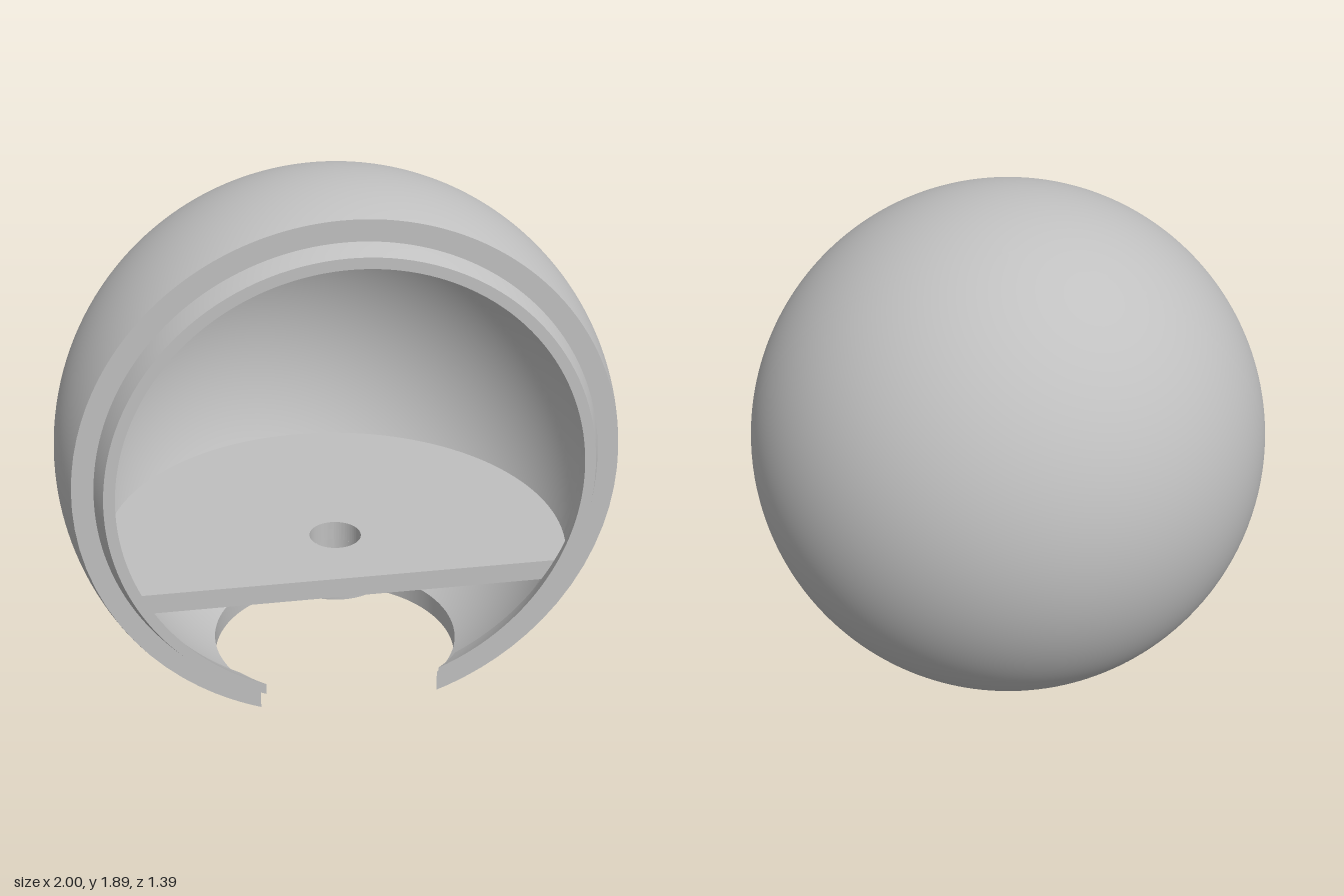
import * as THREE from 'three';
import { toCreasedNormals } from 'three/addons/utils/BufferGeometryUtils.js';

const CY = 0.89, CZ = 0.305;              // centre of the ball
const OUTER = 1, MID = 0.93, INNER = 0.895; // shell and ring radii
const FRONT = 0.32;                       // front cut, from the centre
const HOLE = 0.456, RING_HOLE = 0.5;      // vertical hole through the floor
const RING_BACK = 0.306, RING_FRONT = 0.39;

// Smooth surface from a point rule over u, v in 0..1
function surface(rule, nu, nv, flip = false) {
  const pos = [], index = [];
  for (let i = 0; i <= nu; i++)
    for (let j = 0; j <= nv; j++) pos.push(...rule(i / nu, j / nv).toArray());
  for (let i = 0; i < nu; i++) {
    for (let j = 0; j < nv; j++) {
      const a = i * (nv + 1) + j, b = a + nv + 1, c = b + 1, d = a + 1;
      if (flip) index.push(a, d, b, b, d, c);
      else index.push(a, b, d, b, c, d);
    }
  }
  const geo = new THREE.BufferGeometry();
  geo.setAttribute('position', new THREE.Float32BufferAttribute(pos, 3));
  geo.setIndex(index);
  geo.computeVertexNormals();
  return geo;
}

// Ball surface swept from a pole opposite the two overlapping openings
const W = new THREE.Vector3(0, 0.925, -0.38).normalize();
const Q = new THREE.Vector3(0, W.z, -W.y);
const DOWN = new THREE.Vector3(0, -1, 0), AHEAD = new THREE.Vector3(0, 0, 1);

function ballPoint(R, side, u, v) {
  const x = Math.sqrt(HOLE * HOLE - FRONT * FRONT);
  const corner = new THREE.Vector3(x, -Math.sqrt(R * R - HOLE * HOLE), FRONT);
  const ac = Math.atan2(corner.x, corner.dot(Q));
  const a = side === 'hole' ? -ac + 2 * ac * u : ac + (2 * Math.PI - 2 * ac) * u;
  const m = new THREE.Vector3(Math.sin(a), 0, 0).addScaledVector(Q, Math.cos(a));
  const n = side === 'hole' ? DOWN : AHEAD;
  const k = side === 'hole' ? Math.sqrt(1 - (HOLE / R) ** 2) : FRONT / R;
  const A = W.dot(n), B = m.dot(n);
  let peak = Math.atan2(B, A);
  if (peak < 0) peak += 2 * Math.PI;
  const beta = v * (peak - Math.acos(Math.min(1, k / Math.hypot(A, B))));
  return m.multiplyScalar(R * Math.sin(beta)).addScaledVector(W, R * Math.cos(beta));
}

// Ring point: sphere radius R, depth z, t from one end of the gap to the other
function ringPoint(R, z, t) {
  const rho = Math.sqrt(R * R - z * z);
  const end = Math.asin(Math.sqrt(RING_HOLE ** 2 - z * z) / rho);
  const th = end + (2 * Math.PI - 2 * end) * t;
  return new THREE.Vector3(rho * Math.sin(th), -rho * Math.cos(th), z);
}

export function createModel() {
  const model = new THREE.Group();
  const grey = new THREE.MeshStandardMaterial({ color: 0xc0c0c0 });
  grey.name = 'grey';
  const add = (name, geo, parent) => {
    const mesh = new THREE.Mesh(geo, grey);
    mesh.name = name;
    parent.add(mesh);
    return mesh;
  };
  const lerp = THREE.MathUtils.lerp;

  // Hollow ball with a flat front opening and a round floor hole
  const shell = new THREE.Group();
  shell.name = 'shell';
  shell.position.set(0, CY, CZ);
  for (const side of ['hole', 'front']) {
    const n = side === 'hole' ? 80 : 128;
    add(side + 'OuterSkin', surface((u, v) => ballPoint(OUTER, side, u, v), n, 64), shell);
    add(side + 'InnerSkin', surface((u, v) => ballPoint(MID, side, u, v), n, 64, true), shell);
    add(side + 'Edge', surface((u, v) =>
      ballPoint(OUTER, side, u, 1).lerp(ballPoint(MID, side, u, 1), v), n, 1), shell);
  }
  model.add(shell);

  // Open lip ring standing proud of the front
  const ring = new THREE.Group();
  ring.name = 'lipRing';
  ring.position.set(0, CY, CZ);
  const depth = v => lerp(RING_BACK, RING_FRONT, v);
  add('lipOutside', surface((u, v) => ringPoint(MID, depth(v), u), 128, 4), ring);
  add('lipInside', surface((u, v) => ringPoint(INNER, depth(v), u), 128, 4, true), ring);
  add('lipFront', surface((u, v) => ringPoint(lerp(MID, INNER, v), RING_FRONT, u), 128, 1), ring);
  add('lipBack', surface((u, v) => ringPoint(lerp(MID, INNER, v), RING_BACK, u), 128, 1, true), ring);
  for (const t of [0, 1])
    add('lipEnd', surface((u, v) => ringPoint(lerp(INNER, MID, v), depth(u), t), 4, 1, t === 0), ring);
  model.add(ring);

  // Shelf across the inside, straight at the front, with a centre hole
  const r = 0.86, cut = Math.asin(RING_BACK / r);
  const outline = new THREE.Shape();
  outline.absarc(0, 0, r, -cut, Math.PI + cut, false);
  outline.closePath();
  const bore = new THREE.Path();
  bore.absarc(0, 0, 0.095, 0, Math.PI * 2, true);
  outline.holes.push(bore);
  const shelfGeo = new THREE.ExtrudeGeometry(outline, { depth: 0.075, bevelEnabled: false, curveSegments: 64 });
  shelfGeo.rotateX(-Math.PI / 2);
  add('shelf', toCreasedNormals(shelfGeo, 0.6), model).position.set(0, 0.43, CZ);

  // Stepped collar under the shelf hole
  const profile = [[0.095, 0.43], [0.095, 0.35], [0.2, 0.35], [0.2, 0.41], [0.21, 0.41], [0.21, 0.43]]
    .map(([x, y]) => new THREE.Vector2(x, y));
  add('collar', toCreasedNormals(new THREE.LatheGeometry(profile, 64), 0.6), model).position.z = CZ;

  return model;
}
